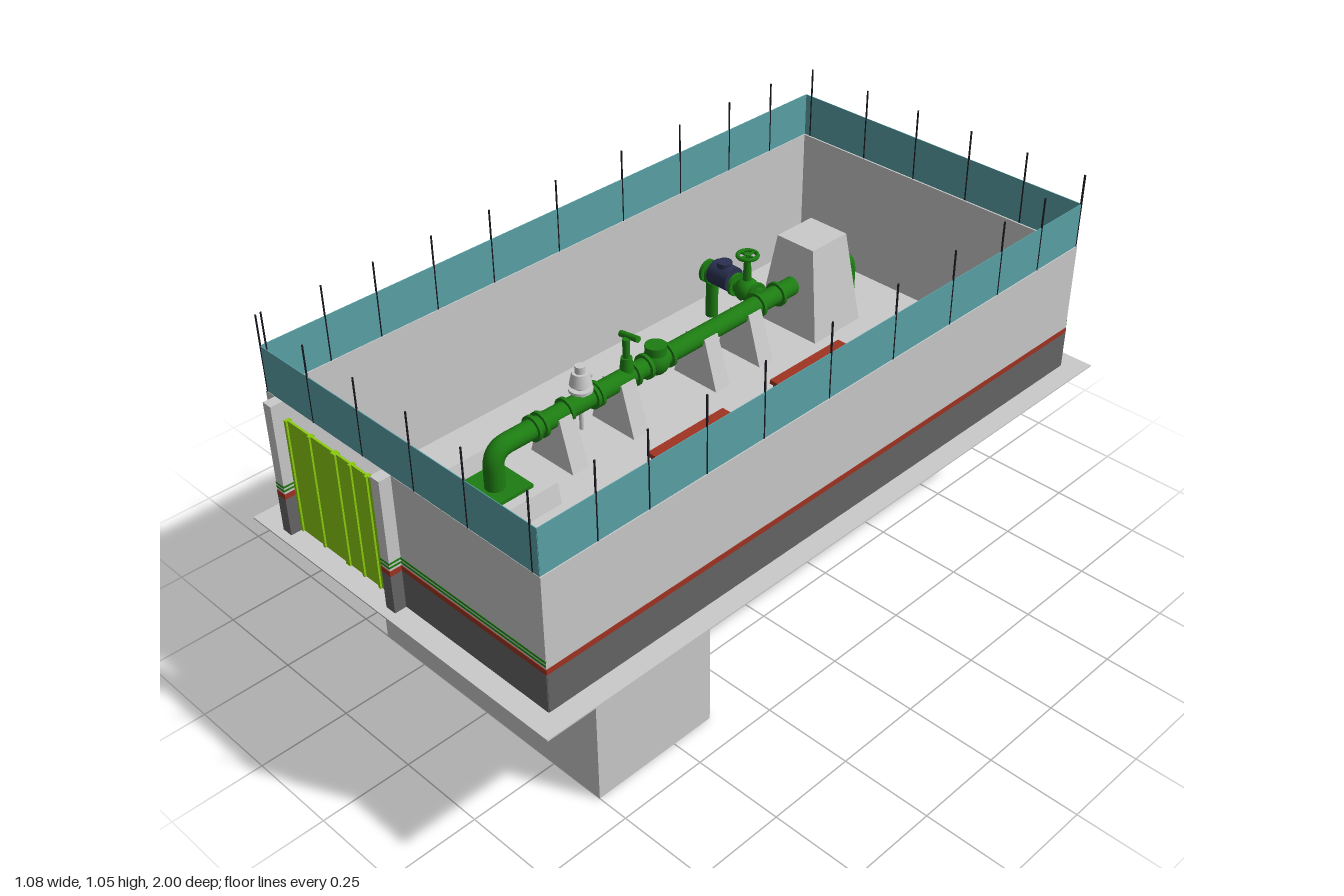
import * as THREE from 'three';

const mat = (name, color) => Object.assign(new THREE.MeshStandardMaterial({ color }), { name });

export function createModel() {
  const concrete = mat('concrete grey', 0xcacaca), dark = mat('plinth grey', 0x656565);
  const red = mat('brick red', 0xa03422), green = mat('pipe green', 0x1d7d12);
  const lime = mat('gate lime', 0x8ccc0e), teal = mat('fence teal', 0x5aa3a7);
  const black = mat('post black', 0x1a1a22), blue = mat('house blue', 0x226c92);
  const navy = mat('motor navy', 0x2a3050);

  const root = new THREE.Group();
  const G = 0.465;                       // ground level
  const PX = -0.18, PY = G + 0.14;       // main pipe axis
  const add = (name, geo, m, x = 0, y = 0, z = 0) => {
    const mesh = new THREE.Mesh(geo, m);
    mesh.name = name;
    mesh.position.set(x, y, z);
    root.add(mesh);
    return mesh;
  };
  // box given by its limits
  const box = (name, m, x0, x1, y0, y1, z0, z1) => add(name,
    new THREE.BoxGeometry(x1 - x0, y1 - y0, z1 - z0), m, (x0 + x1) / 2, (y0 + y1) / 2, (z0 + z1) / 2);
  // cylinder between two points
  const rod = (name, m, a, b, r, r2 = r, seg = 20) => {
    const A = new THREE.Vector3(...a), B = new THREE.Vector3(...b), d = B.clone().sub(A);
    const mesh = add(name, new THREE.CylinderGeometry(r2, r, d.length(), seg), m);
    mesh.position.copy(A).add(B).multiplyScalar(0.5);
    mesh.quaternion.setFromUnitVectors(new THREE.Vector3(0, 1, 0), d.normalize());
    return mesh;
  };
  // box whose top is a smaller rectangle
  const frustum = (name, m, x, z, w, d, w2, d2, h) => {
    const geo = new THREE.BoxGeometry(w, h, d), p = geo.attributes.position;
    for (let i = 0; i < p.count; i++) {
      if (p.getY(i) > 0) { p.setX(i, Math.sign(p.getX(i)) * w2 / 2); p.setZ(i, Math.sign(p.getZ(i)) * d2 / 2); }
    }
    geo.computeVertexNormals();
    return add(name, geo, m, x, G + h / 2, z);
  };

  // ground and underground tank
  box('ground', concrete, -0.54, 0.54, G - 0.004, G, -1, 1);
  box('undergroundTank', concrete, -0.405, 0.412, 0, G - 0.004, 0.375, 0.75);

  // perimeter walls with plinth and stripes on the outer faces
  const T = 0.008, X = 0.48, Z = 0.942, TOP = 0.84;
  const bands = [[dark, G, 0.573], [red, 0.573, 0.588]];
  const lines = [[green, 0.595, 0.6], [green, 0.606, 0.611]];
  for (const s of [-1, 1]) {
    const x0 = s > 0 ? X - T : -X, e = s * X;
    box('sideWall', concrete, x0, x0 + T, G, TOP, -Z, Z);
    for (const [m, y0, y1] of bands) box('sideBand', m, e - 0.0015, e + 0.0015, y0, y1, -Z, Z);
  }
  for (const [x0, x1, s] of [[-X, X, -1], [-X, -0.43, 1], [-0.025, X, 1]]) {
    const z0 = s > 0 ? Z - T : -Z, e = s * Z;
    box('endWall', concrete, x0, x1, G, TOP, z0, z0 + T);
    for (const [m, y0, y1] of [...bands, ...lines]) box('endBand', m, x0, x1, y0, y1, e - 0.0015, e + 0.0015);
  }

  // gate pillars and gate
  for (const x of [-0.43, -0.025]) {
    box('gatePillar', concrete, x - 0.015, x + 0.015, G, TOP, 0.9, 0.975);
    for (const [m, y0, y1] of [...bands, ...lines]) box('pillarBand', m, x - 0.016, x + 0.016, y0, y1, 0.899, 0.976);
  }
  box('gate', lime, -0.415, -0.04, G, 0.79, 0.936, 0.942);
  for (const x of [-0.41, -0.32, -0.23, -0.222, -0.165, -0.105, -0.045]) {
    box('gateRib', lime, x - 0.004, x + 0.004, G, 0.79, 0.931, 0.947);
  }

  // fence panels and posts on top of the walls
  for (const s of [-1, 1]) {
    box('sideFence', teal, s * 0.476 - 0.001, s * 0.476 + 0.001, TOP, 0.965, -0.94, 0.94);
    box('endFence', teal, -0.476, 0.476, TOP, 0.965, s * 0.94 - 0.001, s * 0.94 + 0.001);
  }
  const post = (x, z) => rod('fencePost', black, [x, TOP, z], [x, 1.048, z], 0.0025, 0.0025, 6);
  for (const x of [-0.475, -0.295, -0.112, 0.07, 0.25, 0.455]) { post(x, 0.94); post(-x, -0.94); }
  for (const z of [0.78, 0.63, 0.455, 0.272, 0.05, -0.182, -0.4, -0.595, -0.765, -0.94]) {
    post(0.476, z);
    post(-0.476, z > -0.9 ? z - 0.02 : 0.925);
  }

  // control house with notched plan
  const plan = (i) => new THREE.Shape([
    [0.19 + i, -0.325 + i], [0.45 - i, -0.325 + i], [0.45 - i, 0.36 - i], [0.19 + i, 0.36 - i],
    [0.19 + i, 0.105 + i], [0.32 + i, 0.105 + i], [0.32 + i, -0.065 - i], [0.19 + i, -0.065 - i],
  ].map(([x, z]) => new THREE.Vector2(x, -z)));
  const slab = (name, m, inset, y, depth) => add(name,
    new THREE.ExtrudeGeometry(plan(inset), { depth, bevelEnabled: false }).rotateX(-Math.PI / 2), m, 0, y, 0);
  slab('houseWalls', blue, 0.006, G, 0.225);
  slab('houseRoof', red, 0, G + 0.225, 0.011);
  box('porchFloor', concrete, 0.195, 0.325, G, G + 0.01, -0.07, 0.11);
  box('porch', blue, 0.22, 0.3, G + 0.01, G + 0.12, -0.06, 0.092);
  box('porchBack', blue, 0.295, 0.325, G + 0.01, G + 0.1, -0.04, 0.08);
  for (let i = 0; i < 3; i++) box('porchStep', blue, 0.195 + i * 0.009, 0.225, G, G + 0.025 * (i + 1), -0.02, 0.055);

  // main pipe with end bends
  const R = 0.027;
  const path = new THREE.CurvePath();
  const V = (y, z) => new THREE.Vector3(PX, y, z);
  path.add(new THREE.QuadraticBezierCurve3(V(PY - 0.05, 0.53), V(PY, 0.53), V(PY, 0.48)));
  path.add(new THREE.LineCurve3(V(PY, 0.48), V(PY, -0.75)));
  path.add(new THREE.QuadraticBezierCurve3(V(PY, -0.75), V(PY, -0.8), V(PY - 0.05, -0.8)));
  add('mainPipe', new THREE.TubeGeometry(path, 160, R, 20), green);
  rod('pipeDropFront', green, [PX, G, 0.53], [PX, PY - 0.045, 0.53], R);
  rod('pipeDropBack', green, [PX, G, -0.8], [PX, PY - 0.045, -0.8], R);
  rod('pipeOutlet', green, [PX, G + 0.015, -0.774], [PX, 0.444, -0.817], R);
  for (const z of [0.4, 0.375, 0.29, 0.2, 0.185, 0.055, 0.01, -0.07, -0.42, -0.5]) {
    rod('pipeFlange', green, [PX, PY, z - 0.005], [PX, PY, z + 0.005], 0.036);
  }

  // anchor block, pipe saddles and their footings
  frustum('anchorBlock', concrete, -0.183, -0.645, 0.215, 0.19, 0.13, 0.14, 0.27);
  for (const z of [0.312, 0.098, -0.208, -0.38]) {
    frustum('pipeSaddle', concrete, -0.185, z, 0.16, 0.054, 0.07, 0.05, 0.145);
    for (const s of [-1, 1]) {
      const x = -0.185 + s * 0.075;
      box('footingEnd', concrete, x - 0.006, x + 0.006, 0.44, G, z - 0.027, z + 0.027);
      box('footingSide', concrete, -0.266, -0.104, 0.44, G, z + s * 0.023 - 0.004, z + s * 0.023 + 0.004);
    }
  }

  // front pit cover between two kerbs
  box('pitCover', green, -0.255, -0.12, G, G + 0.03, 0.457, 0.6);
  for (const x of [-0.3, -0.065]) frustum('pitKerb', concrete, x, 0.528, 0.05, 0.185, 0.028, 0.185, 0.06);
  for (const z of [0.48, 0.58]) box('pitBeam', concrete, -0.28, -0.085, G, G + 0.02, z - 0.008, z + 0.008);

  // check valve body and lever valve
  const body = add('checkValve', new THREE.SphereGeometry(0.04, 20, 14), green, PX, PY, -0.03);
  body.scale.set(0.95, 1, 1);
  rod('checkValveCap', green, [PX, PY, -0.03], [PX, PY + 0.05, -0.03], 0.03);
  rod('leverStem', green, [PX, PY, 0.075], [PX, PY + 0.115, 0.075], 0.01);
  rod('leverBonnet', green, [PX, PY, 0.075], [PX, PY + 0.06, 0.075], 0.022, 0.015);
  rod('leverHandle', green, [PX - 0.035, PY + 0.11, 0.06], [PX + 0.03, PY + 0.12, 0.06], 0.009);

  // grey air valve with its drain
  rod('airValveNeck', concrete, [PX, PY, 0.235], [PX, PY + 0.06, 0.235], 0.016);
  rod('airValveFlange', concrete, [PX, PY + 0.035, 0.235], [PX, PY + 0.043, 0.235], 0.032);
  rod('airValveBody', concrete, [PX, PY + 0.055, 0.235], [PX, PY + 0.09, 0.235], 0.03, 0.022);
  rod('airValveCap', concrete, [PX, PY + 0.09, 0.235], [PX, PY + 0.11, 0.235], 0.014);
  rod('airValveArm', concrete, [PX, PY + 0.06, 0.2], [-0.24, PY + 0.06, 0.185], 0.006, 0.006, 10);
  rod('drainPipe', concrete, [-0.24, 0.415, 0.185], [-0.24, PY + 0.06, 0.185], 0.006, 0.006, 10);
  rod('drainSleeve', concrete, [-0.24, 0.415, 0.185], [-0.24, G, 0.185], 0.011, 0.011, 12);
  rod('drainTip', black, [-0.24, 0.385, 0.185], [-0.24, 0.415, 0.185], 0.003, 0.003, 8);

  // side branch with handwheel valve and motor
  const BZ = -0.46;
  rod('branchPipe', green, [PX, PY, BZ], [-0.41, PY, BZ], 0.022);
  for (const x of [-0.22, -0.295, -0.385, -0.405]) rod('branchFlange', green, [x - 0.005, PY, BZ], [x + 0.005, PY, BZ], 0.034);
  add('branchValve', new THREE.SphereGeometry(0.036, 20, 14), green, -0.255, PY, BZ);
  rod('valveStem', green, [-0.255, PY, BZ], [-0.255, PY + 0.115, BZ], 0.014, 0.009);
  const wheel = add('handwheel', new THREE.TorusGeometry(0.028, 0.006, 8, 24), green, -0.255, PY + 0.11, BZ);
  wheel.rotation.x = Math.PI / 2;
  for (const a of [0, 1]) {
    const dx = a ? 0.028 : 0, dz = a ? 0 : 0.028;
    rod('wheelSpoke', green, [-0.255 - dx, PY + 0.11, BZ - dz], [-0.255 + dx, PY + 0.11, BZ + dz], 0.004, 0.004, 8);
  }
  rod('motorBody', navy, [-0.305, PY + 0.01, BZ], [-0.378, PY + 0.01, BZ], 0.037);
  rod('motorTop', navy, [-0.342, PY, BZ], [-0.342, PY + 0.055, BZ], 0.022);
  rod('branchDrop', green, [-0.39, G, BZ], [-0.39, PY, BZ], 0.018);

  return root;
}
